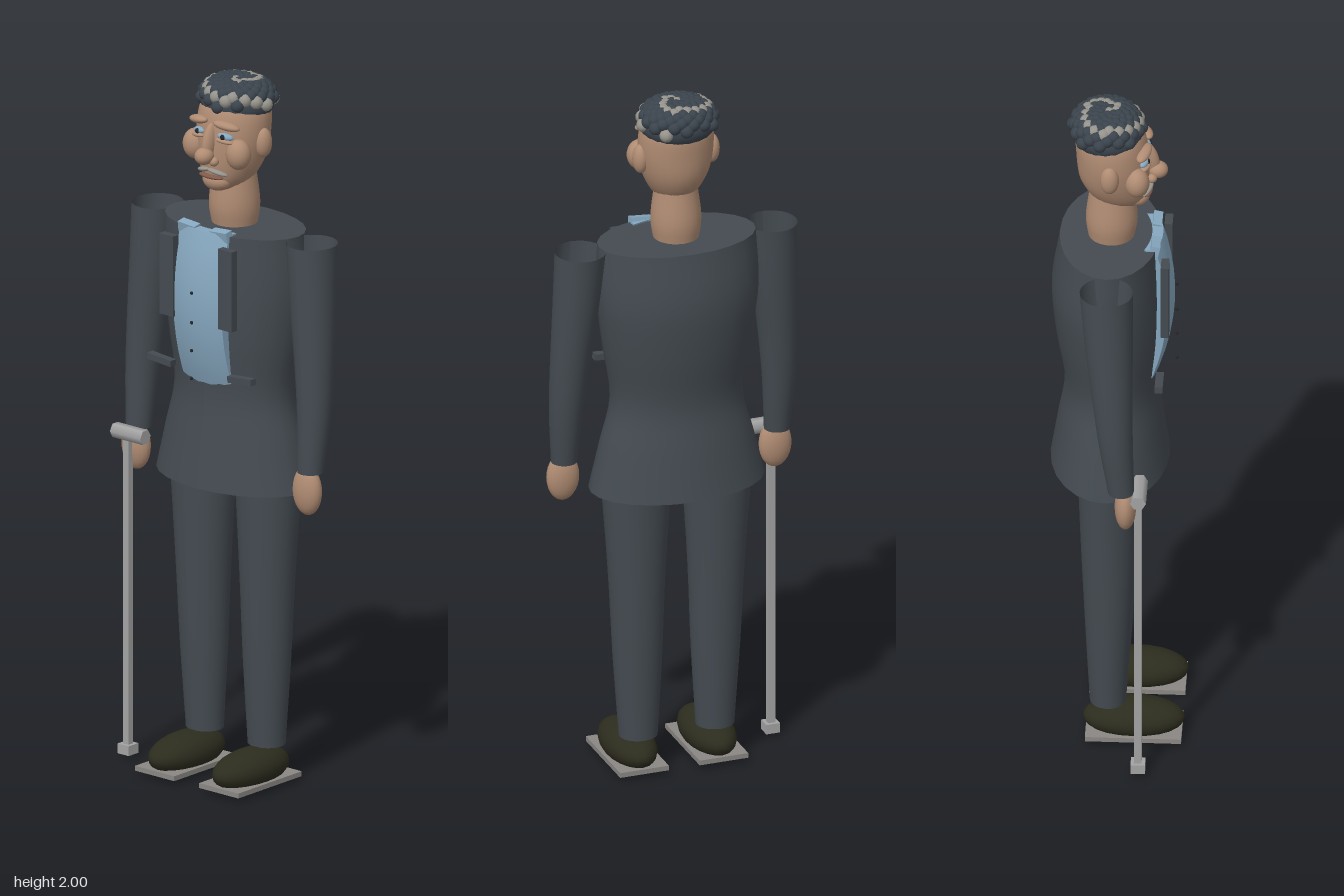
import * as THREE from 'three';

const mat = (name, color, side = THREE.FrontSide) => {
  const m = new THREE.MeshStandardMaterial({ color, side });
  m.name = name;
  return m;
};

export function createModel() {
  const suit = mat('charcoal suit', 0x444b51, THREE.DoubleSide);
  const shirt = mat('pale blue shirt', 0x87a8c0);
  const skin = mat('skin', 0xb08c73);
  const shoe = mat('dark olive shoe', 0x2c2c1e);
  const sole = mat('grey sole', 0x8a8783);
  const hairDark = mat('dark hair', 0x3b444d);
  const hairGrey = mat('grey hair', 0x96948c);
  const metal = mat('cane metal', 0xa3a3a3);
  const black = mat('black', 0x24262a);
  const lip = mat('lip', 0x80594a);

  const model = new THREE.Group();
  model.name = 'gentleman';

  const add = (name, geometry, material, x = 0, y = 0, z = 0, rx = 0, ry = 0, rz = 0) => {
    const m = new THREE.Mesh(geometry, material);
    m.name = name;
    m.position.set(x, y, z);
    m.rotation.set(rx, ry, rz);
    model.add(m);
    return m;
  };
  const box = (w, h, d) => new THREE.BoxGeometry(w, h, d);
  const ball = (a, b, c, w = 20, h = 14) => new THREE.SphereGeometry(1, w, h).scale(a, b, c);

  // Smooth skin through elliptical rings, each [y, centreX, centreZ, radiusX, radiusZ]
  const loft = (rings, closed = true, sides = 24, steps = 4) => {
    const curve = [0, 1, 2, 3, 4].map(k => new THREE.CatmullRomCurve3(
      rings.map((r, i) => new THREE.Vector3(i, r[k], 0))));
    const n = (rings.length - 1) * steps;
    const pos = [], idx = [];
    const ring = t => {
      const [y, cx, cz, a, b] = curve.map(c => c.getPoint(t).y);
      for (let j = 0; j <= sides; j++) {
        const u = j / sides * Math.PI * 2;
        pos.push(cx + a * Math.sin(u), y, cz + b * Math.cos(u));
      }
    };
    for (let i = 0; i <= n; i++) ring(i / n);
    const w = sides + 1;
    for (let i = 0; i < n; i++) for (let j = 0; j < sides; j++) {
      const p = i * w + j, q = p + w;
      idx.push(p, p + 1, q, p + 1, q + 1, q);
    }
    if (closed) for (const end of [0, 1]) {
      const s = pos.length / 3;
      ring(end);
      for (let j = 1; j < sides - 1; j++)
        end ? idx.push(s, s + j, s + j + 1) : idx.push(s, s + j + 1, s + j);
    }
    const g = new THREE.BufferGeometry();
    g.setAttribute('position', new THREE.Float32BufferAttribute(pos, 3));
    g.setIndex(idx);
    g.computeVertexNormals();
    return g;
  };

  // Jacket
  add('jacket', loft([
    [0.855, 0, -0.025, 0.25, 0.163], [0.99, 0, -0.024, 0.218, 0.143],
    [1.12, 0, -0.022, 0.188, 0.127], [1.28, 0, -0.028, 0.212, 0.145],
    [1.43, 0, -0.033, 0.23, 0.152], [1.585, 0, -0.025, 0.226, 0.138],
  ]), suit);

  // Shirt front, bowed in both directions
  const panel = box(0.175, 0.46, 0.03).toNonIndexed();
  const bowed = new THREE.BoxGeometry(0.175, 0.46, 0.03, 8, 10, 1);
  panel.dispose();
  const p = bowed.attributes.position;
  for (let i = 0; i < p.count; i++) {
    const x = p.getX(i), y = p.getY(i) - 0.03;
    p.setZ(i, p.getZ(i) + 0.137 - 0.8 * y * y - 2.4 * x * x);
  }
  bowed.computeVertexNormals();
  add('shirtFront', bowed, shirt, 0, 1.36, 0);
  for (const y of [1.42, 1.335, 1.255, 1.175])
    add('button', ball(0.005, 0.005, 0.004, 8, 6), black, 0, y, 0.157);

  for (const s of [-1, 1]) {
    // Collar, lapels and pocket flaps
    add('collarTip', box(0.06, 0.03, 0.025), shirt, s * 0.058, 1.583, 0.1, 0.2, 0, s * 0.08);
    add('lapel', box(0.05, 0.23, 0.022), suit, s * 0.106, 1.445, 0.13);
    add('pocketFlap', box(0.085, 0.018, 0.022), suit, s * 0.145, 1.19, 0.116, 0, 0, s * 0.08);

    // Open sleeve and hand
    add('sleeve', loft([
      [0.94, s * 0.311, 0.02, 0.036, 0.036], [1.1, s * 0.311, 0.005, 0.047, 0.047],
      [1.25, s * 0.303, -0.005, 0.055, 0.056], [1.42, s * 0.29, -0.015, 0.064, 0.066],
      [1.58, s * 0.28, -0.022, 0.07, 0.073],
    ], false), suit);
    add('hand', ball(0.047, 0.07, 0.03), skin, s * 0.31, 0.89, 0.032);

    // Trouser leg, shoe and sole
    add('trouserLeg', loft([
      [0.11, s * 0.112, -0.026, 0.054, 0.05], [0.35, s * 0.114, -0.025, 0.069, 0.063],
      [0.6, s * 0.116, -0.025, 0.08, 0.074], [0.9, s * 0.118, -0.026, 0.101, 0.084],
    ]), suit);
    add('shoe', ball(0.07, 0.055, 0.14), shoe, s * 0.116, 0.057, 0.045);
    add('sole', box(0.142, 0.014, 0.263), sole, s * 0.116, 0.022, 0.046);

    // Ears, cheeks, brows and eyes
    add('ear', ball(0.022, 0.042, 0.026), skin, s * 0.104, 1.83, -0.022);
    add('cheek', ball(0.036, 0.043, 0.034), skin, s * 0.078, 1.808, 0.052);
    add('brow', ball(0.04, 0.012, 0.018), skin, s * 0.05, 1.888, 0.07, 0, s * 0.3, -s * 0.15);
    add('eye', ball(0.024, 0.01, 0.012), shirt, s * 0.047, 1.857, 0.071, 0, s * 0.3, -s * 0.12);
    add('pupil', ball(0.008, 0.008, 0.005, 10, 8), black, s * 0.045, 1.857, 0.081);
    add('lowerLid', ball(0.028, 0.007, 0.013), skin, s * 0.048, 1.845, 0.074, 0, s * 0.3, -s * 0.12);
    add('nostrilWing', ball(0.014, 0.013, 0.014), skin, s * 0.022, 1.785, 0.09);
    add('moustacheHalf', ball(0.03, 0.007, 0.012), hairGrey, s * 0.025, 1.752, 0.078, 0, s * 0.4, -s * 0.25);
  }

  // Neck and head
  add('neck', loft([
    [1.575, 0, -0.022, 0.062, 0.062], [1.64, 0, -0.021, 0.07, 0.071], [1.73, 0, -0.02, 0.06, 0.062],
  ]), skin);
  add('head', loft([
    [1.695, 0, 0.012, 0.035, 0.045], [1.725, 0, 0, 0.066, 0.078], [1.78, 0, -0.012, 0.092, 0.097],
    [1.85, 0, -0.018, 0.105, 0.1], [1.92, 0, -0.025, 0.098, 0.093], [1.97, 0, -0.03, 0.06, 0.06],
  ]), skin);
  add('chin', ball(0.045, 0.03, 0.035), skin, 0, 1.72, 0.05);
  add('noseBridge', ball(0.017, 0.055, 0.025), skin, 0, 1.835, 0.083, -0.25);
  add('noseTip', ball(0.026, 0.024, 0.028), skin, 0, 1.8, 0.105);
  add('mouth', ball(0.042, 0.007, 0.016), lip, 0, 1.736, 0.076);

  // Curly hair: a spiral of faceted curls over the crown, streaked with grey
  const curls = 112, hair = new THREE.Group();
  hair.name = 'hair';
  model.add(hair);
  add('scalp', ball(0.105, 0.06, 0.098), hairDark, 0, 1.925, -0.032);
  const curl = new THREE.IcosahedronGeometry(0.0195, 1);
  curl.deleteAttribute('uv');
  for (let i = 0; i < curls; i++) {
    const t = (i + 0.5) / curls, a = i * 2.39996, r = Math.sqrt(t);
    const x = r * 0.103, z = r * 0.094;
    const lift = 0.062 * Math.sqrt(Math.max(0, 1 - t * t * 0.98));
    const m = new THREE.Mesh(curl, (i * 37 + 11) % 100 < 22 ? hairGrey : hairDark);
    m.name = 'curl';
    m.position.set(x * Math.sin(a), 1.918 + lift, -0.034 + z * Math.cos(a));
    m.rotation.set(i, i * 2, 0);
    hair.add(m);
  }

  // Walking cane in the right hand
  add('caneShaft', box(0.02, 0.9, 0.02), metal, -0.31, 0.48, 0.066);
  add('caneHandle', new THREE.CylinderGeometry(0.022, 0.022, 0.11, 6), metal, -0.3, 0.931, 0.068, 0, 0, Math.PI / 2);
  add('caneFoot', box(0.04, 0.028, 0.04), metal, -0.31, 0.026, 0.066);

  return model;
}
